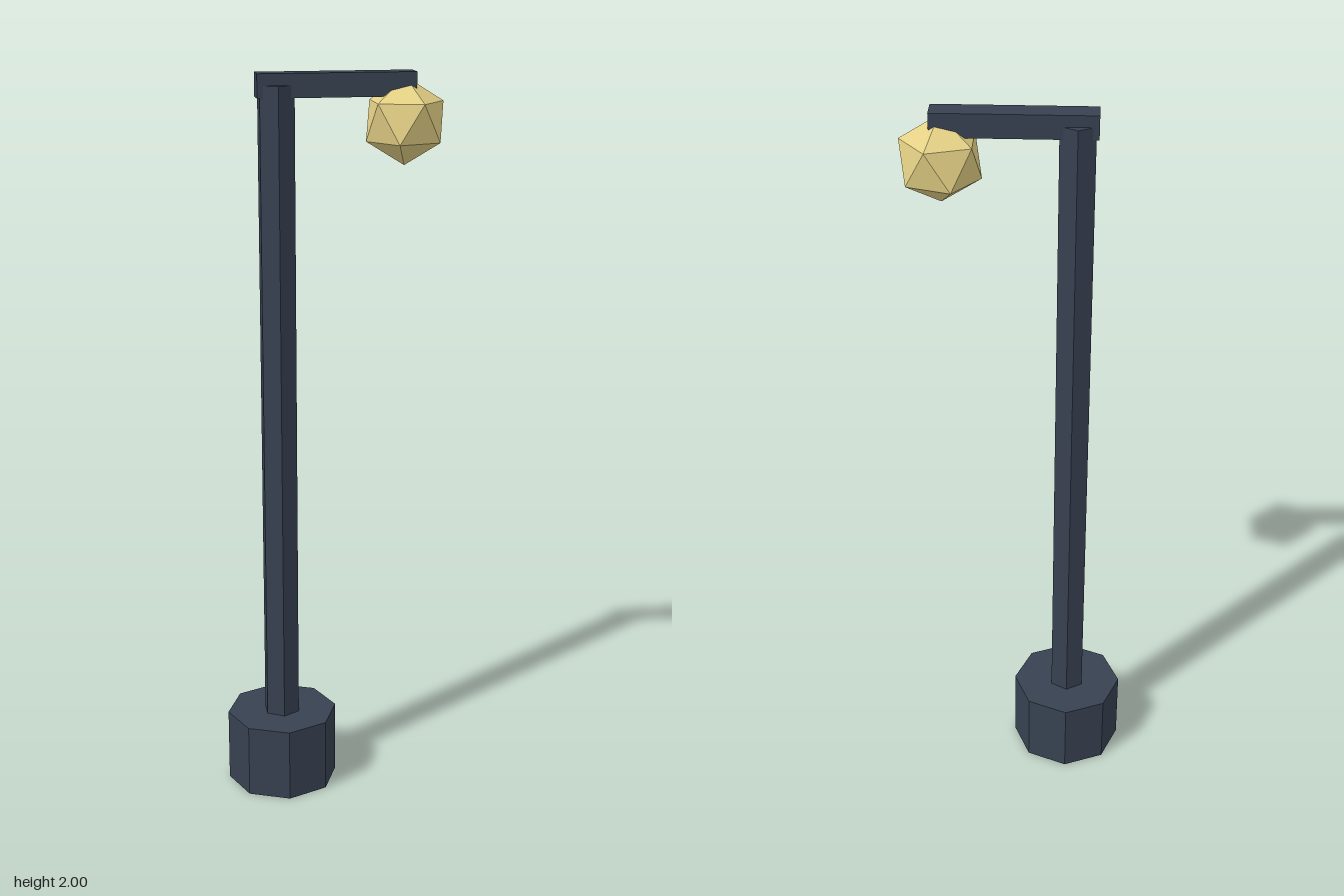
import * as THREE from 'three';

export function createModel() {
  const group = new THREE.Group();
  const slate = new THREE.MeshStandardMaterial({ name: 'slate metal', color: 0x374151, flatShading: true });
  const gold = new THREE.MeshStandardMaterial({ name: 'lamp gold', color: 0xe3d085, flatShading: true });

  const add = (name, geometry, material, x, y) => {
    const mesh = new THREE.Mesh(geometry, material);
    mesh.name = name;
    mesh.position.set(x, y, 0);
    group.add(mesh);
    return mesh;
  };

  const postX = -0.142;
  // Octagonal foot and hexagonal post
  add('base', new THREE.CylinderGeometry(0.155, 0.155, 0.207, 8), slate, postX, 0.1035);
  add('post', new THREE.CylinderGeometry(0.052, 0.052, 1.87, 6), slate, postX, 1.035);
  // Horizontal arm reaching out to the lamp
  add('arm', new THREE.BoxGeometry(0.414, 0.062, 0.062), slate, 0.013, 1.969);
  // Faceted lamp, turned so one corner points straight up
  const lamp = add('lamp', new THREE.IcosahedronGeometry(0.114, 0), gold, 0.195, 1.872);
  lamp.rotation.z = -Math.atan(2 / (1 + Math.sqrt(5)));

  return group;
}
